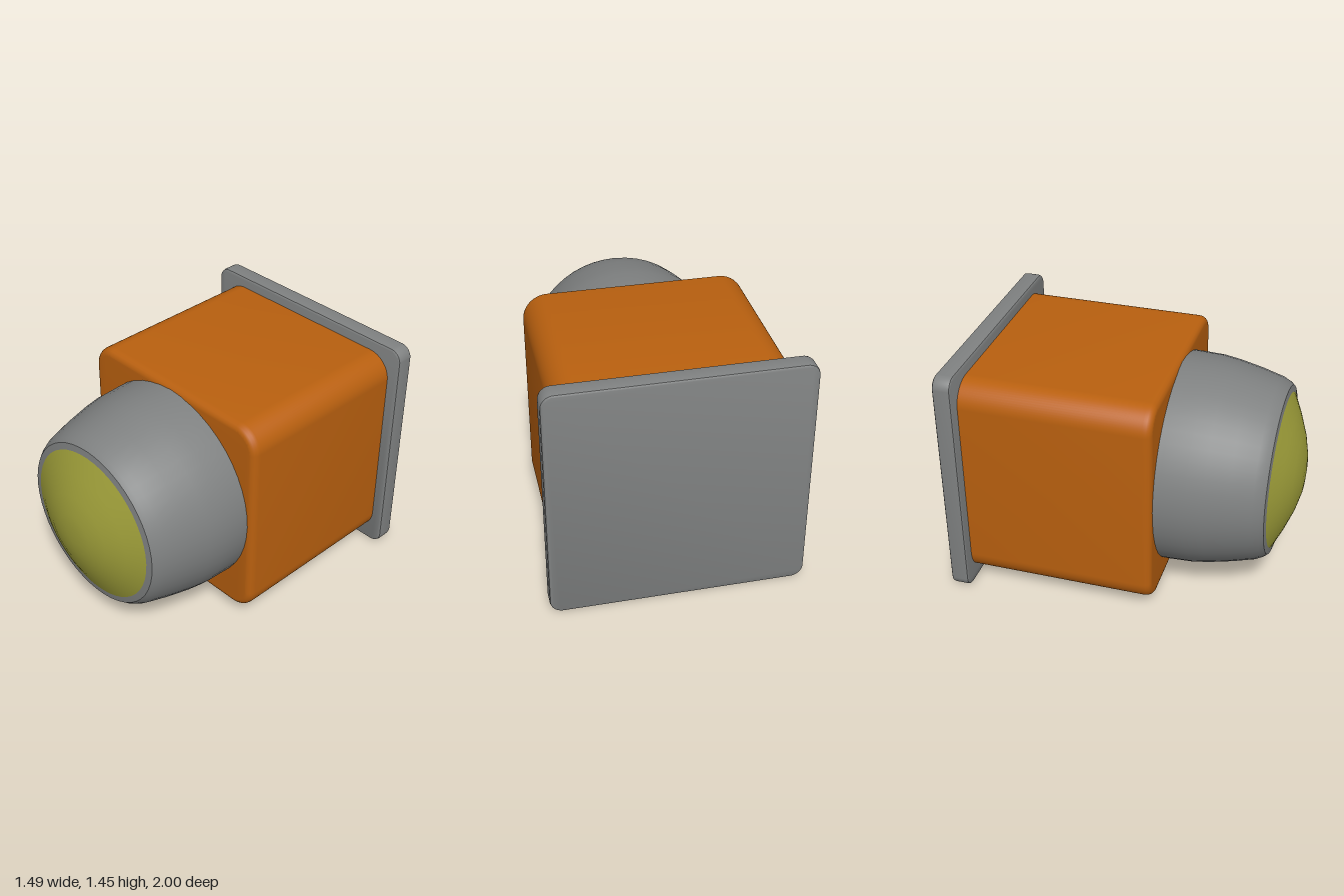
import * as THREE from 'three';
import { toCreasedNormals } from 'three/addons/utils/BufferGeometryUtils.js';

const CENTER_Y = 0.727;

function material(name, color) {
  const m = new THREE.MeshStandardMaterial({ color });
  m.name = name;
  return m;
}

// Rounded-rectangle block from zBack to zFront, with softened face edges
function roundedBlock(halfW, halfH, radius, zBack, zFront, bevelSize, bevelDepth, segments) {
  const w = halfW - bevelSize, h = halfH - bevelSize, r = radius - bevelSize;
  const s = new THREE.Shape();
  s.moveTo(w, -h + r);
  s.absarc(w - r, h - r, r, 0, Math.PI / 2, false);
  s.absarc(-w + r, h - r, r, Math.PI / 2, Math.PI, false);
  s.absarc(-w + r, -h + r, r, Math.PI, Math.PI * 1.5, false);
  s.absarc(w - r, -h + r, r, Math.PI * 1.5, Math.PI * 2, false);
  const g = new THREE.ExtrudeGeometry(s, {
    depth: zFront - zBack - 2 * bevelDepth, curveSegments: 8,
    bevelEnabled: true, bevelSize, bevelThickness: bevelDepth, bevelSegments: segments,
  });
  g.translate(0, 0, zBack + bevelDepth);
  return toCreasedNormals(g, 0.65);
}

// Solid of revolution about the z axis; profile is [radius, z] from back to front
function turned(profile) {
  const g = new THREE.LatheGeometry(profile.map(([r, z]) => new THREE.Vector2(r, z)), 48);
  g.rotateX(Math.PI / 2);
  return toCreasedNormals(g, 0.6);
}

export function createModel() {
  const grey = material('grey metal', 0x7f8181);
  const orange = material('orange housing', 0xb9600f);
  const yellow = material('yellow lens', 0x9d9d39);

  const model = new THREE.Group();
  model.name = 'lamp';
  const add = (name, geometry, mat) => {
    const mesh = new THREE.Mesh(geometry, mat);
    mesh.name = name;
    mesh.position.y = CENTER_Y;
    model.add(mesh);
  };

  // Square mounting plate at the back
  add('backPlate', roundedBlock(0.747, 0.727, 0.075, -1, -0.89, 0.012, 0.02, 2), grey);

  // Box housing, its rear edge sunk into the plate
  add('housing', roundedBlock(0.672, 0.658, 0.15, -0.96, 0.24, 0.04, 0.05, 4), orange);

  // Tapering barrel with a softened rim
  add('barrel', turned([
    [0.635, 0.2], [0.635, 0.28], [0.63, 0.42], [0.615, 0.52], [0.585, 0.66],
    [0.55, 0.79], [0.53, 0.83], [0.51, 0.855], [0.47, 0.862],
  ]), grey);

  // Domed lens closing the barrel
  add('lens', turned([
    [0.47, 0.862], [0.36, 0.915], [0.24, 0.963], [0.13, 0.992], [0.06, 0.999], [0, 1],
  ]), yellow);

  return model;
}
